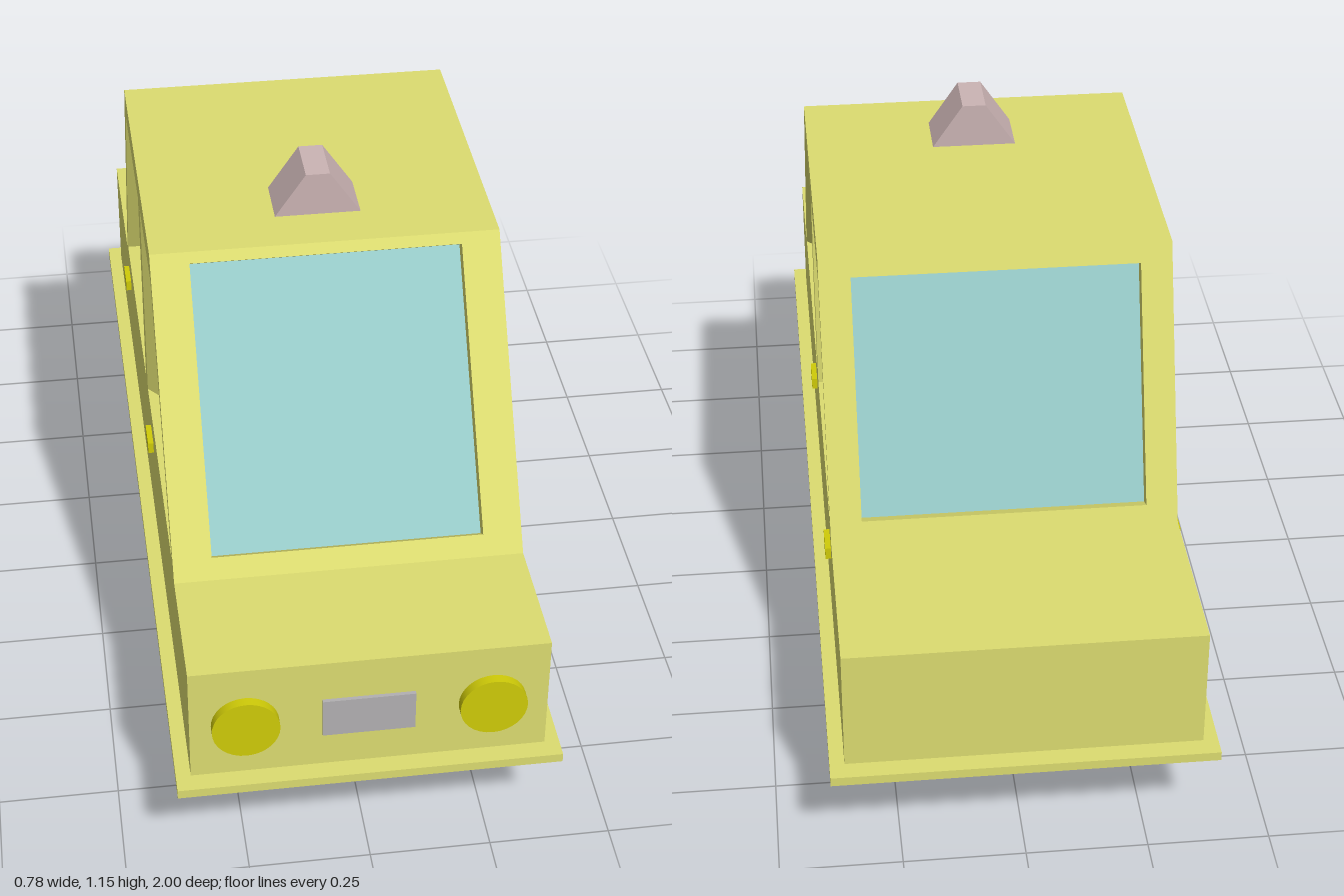
import * as THREE from 'three';
import { ConvexGeometry } from 'three/addons/geometries/ConvexGeometry.js';

const mat = (color) => new THREE.MeshStandardMaterial({ color });
const paint = mat(0xdcdc70), glass = mat(0x98ccca), lamp = mat(0xcfcb08);
const rubber = mat(0x0c0c0c), hubGrey = mat(0xcbc1be), signPink = mat(0xcbb4b4), grilleGrey = mat(0xb2b0b2);

const shapeOf = (pts) => new THREE.Shape(pts.map(([a, b]) => new THREE.Vector2(a, b)));

// Extrudes an outline, with optional holes, to the given depth
function extrude(pts, depth, holes = []) {
  const shape = shapeOf(pts);
  holes.forEach((h) => shape.holes.push(shapeOf(h)));
  return new THREE.ExtrudeGeometry(shape, { depth, bevelEnabled: false });
}

// Side outline given as [z, y], running from x1 - depth to x1
const sidePrism = (pts, x1, depth, holes) =>
  extrude(pts, depth, holes).rotateY(-Math.PI / 2).translate(x1, 0, 0);

export function createModel() {
  const car = new THREE.Group();
  car.name = 'taxi';
  const add = (name, geo, material, x = 0, y = 0, z = 0) => {
    const mesh = new THREE.Mesh(geo, material);
    mesh.name = name;
    mesh.position.set(x, y, z);
    car.add(mesh);
    return mesh;
  };
  const box = (name, w, h, d, material, x, y, z) =>
    add(name, new THREE.BoxGeometry(w, h, d), material, x, y, z);

  // Lower body on its thin skirt plate
  box('skirtPlate', 0.78, 0.02, 2, paint, 0, 0.225, 0);
  box('lowerBody', 0.72, 0.27, 1.92, paint, 0, 0.367, 0);

  // Glass core behind the window openings
  add('windowGlass', sidePrism([[0.649, 0.5], [0.284, 1.04], [-0.349, 1.04], [-0.553, 0.5]], 0.33, 0.66), glass);

  // Cabin sides with two openings each
  const cabin = [[0.685, 0.5], [0.31, 1.055], [-0.375, 1.055], [-0.585, 0.5]];
  const frontWindow = [[0.635, 0.525], [0.315, 0.995], [0.04, 0.995], [0.04, 0.525]];
  const rearWindow = [[-0.01, 0.525], [-0.01, 0.995], [-0.36, 0.995], [-0.55, 0.525]];
  for (const s of [-1, 1]) {
    const side = s < 0 ? 'right' : 'left';
    add(side + 'CabinSide', sidePrism(cabin, s > 0 ? 0.36 : -0.32, 0.04, [frontWindow, rearWindow]), paint);

    // Slanted reveals at the ends of the front window
    const reveal = (name, [a, b], dz) => {
      const pts = [];
      for (const [z, y] of [a, b]) {
        for (const [x, shift] of [[0.36, 0], [0.328, 0], [0.328, dz]]) {
          pts.push(new THREE.Vector3(s * x, y, z + shift));
        }
      }
      add(side + name, new ConvexGeometry(pts), paint);
    };
    reveal('FrontPillarReveal', [frontWindow[0], frontWindow[1]], -0.035);
    reveal('DoorPillarReveal', [frontWindow[2], frontWindow[3]], 0.04);

    // Door handles
    for (const z of [0.13, -0.522]) box(side + 'DoorHandle', 0.024, 0.026, 0.068, lamp, s * 0.36, 0.453, z);
  }

  // Sloped frames of the windscreen and rear window
  const slopedFrame = (name, zBase, run, holeX, y0, y1, back) => {
    const a = Math.atan2(run, 0.555), v = (y) => (y - 0.5) / Math.cos(a);
    const w = 0.325, top = v(1.055);
    const geo = extrude([[-w, 0], [w, 0], [w, top], [-w, top]], 0.04,
      [[[-holeX, v(y0)], [holeX, v(y0)], [holeX, v(y1)], [-holeX, v(y1)]]]);
    geo.translate(0, 0, -0.04).rotateX(-a);
    if (back) geo.rotateY(Math.PI);
    add(name, geo, paint, 0, 0.5, zBase);
  };
  slopedFrame('windscreenFrame', 0.685, 0.375, 0.28, 0.54, 1.035, false);
  slopedFrame('rearWindowFrame', -0.585, 0.21, 0.295, 0.54, 1.015, true);
  box('roof', 0.7, 0.025, 0.685, paint, 0, 1.0425, -0.0325);

  // Roof sign
  add('roofSign', extrude([[-0.094, 1.05], [0.092, 1.05], [0.024, 1.15], [-0.026, 1.15]], 0.117), signPink, 0, 0, 0.084);

  // Headlights and grille
  for (const x of [-0.249, 0.247]) {
    add('headlight', new THREE.CylinderGeometry(0.068, 0.068, 0.04, 32).rotateX(Math.PI / 2), lamp, x, 0.363, 0.96);
  }
  box('grille', 0.186, 0.09, 0.03, grilleGrey, -0.002, 0.363, 0.953);

  // Wheels with hubs on the outer faces
  for (const s of [-1, 1]) {
    for (const z of [0.605, -0.575]) {
      add('tyre', new THREE.CylinderGeometry(0.153, 0.153, 0.118, 36).rotateZ(Math.PI / 2), rubber, s * 0.297, 0.153, z);
      add('hub', new THREE.CylinderGeometry(0.069, 0.069, 0.02, 28).rotateZ(Math.PI / 2), hubGrey, s * 0.35, 0.16, z);
    }
  }
  return car;
}
